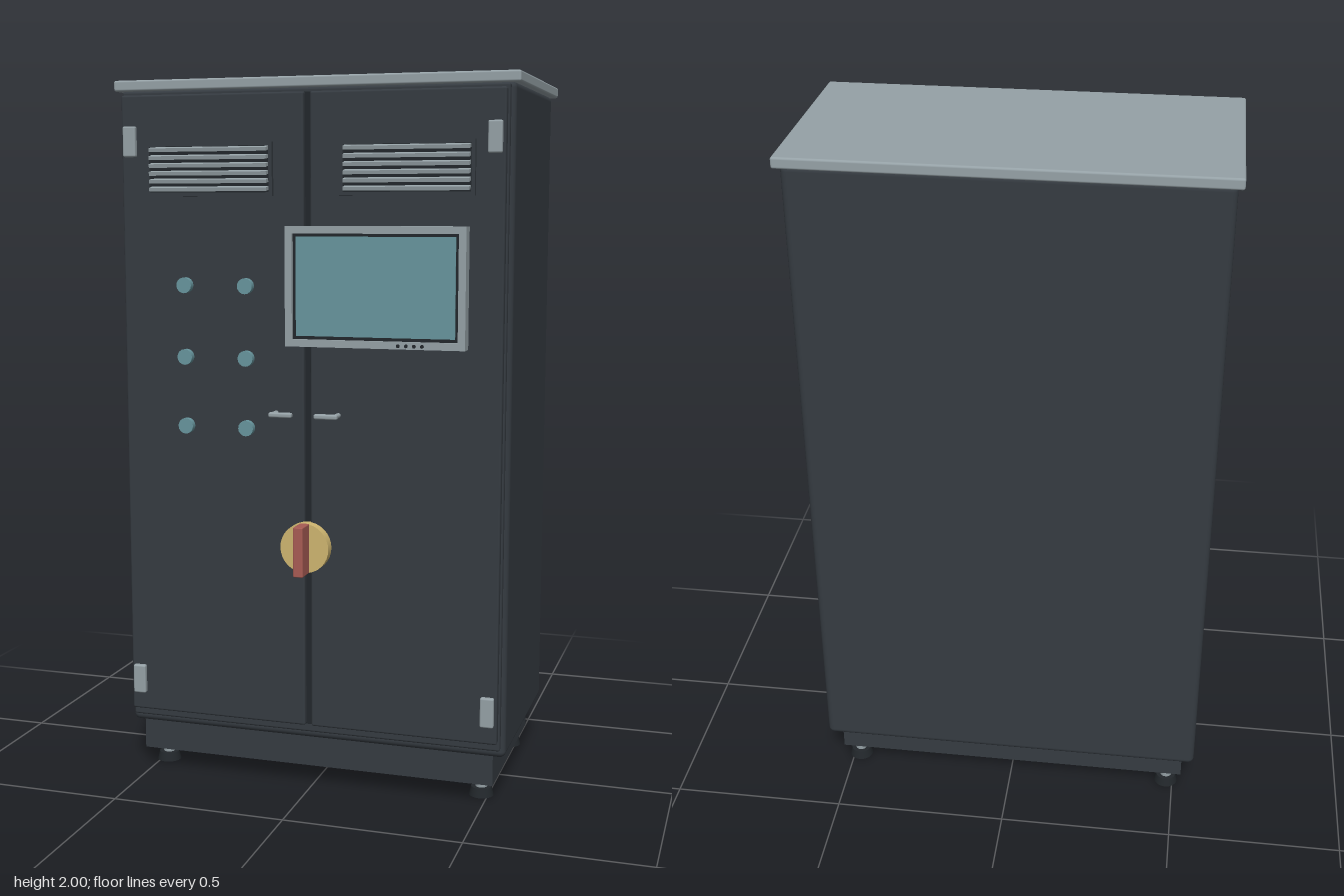
import * as THREE from 'three';
import { RoundedBoxGeometry } from 'three/addons/geometries/RoundedBoxGeometry.js';

const mat = (name, color) => {
  const m = new THREE.MeshStandardMaterial({ color });
  m.name = name;
  return m;
};

export function createModel() {
  const root = new THREE.Group();
  root.name = 'controlCabinet';
  const body = mat('charcoal paint', 0x353b41);
  const dark = mat('black rubber', 0x22272b);
  const metal = mat('light grey metal', 0x95a1a6);
  const teal = mat('teal glass', 0x67959d);
  const yellow = mat('yellow plastic', 0xcfb670);
  const red = mat('red plastic', 0xa85c54);

  const add = (parent, name, geometry, material, x = 0, y = 0, z = 0) => {
    const m = new THREE.Mesh(geometry, material);
    m.name = name;
    m.position.set(x, y, z);
    parent.add(m);
    return m;
  };
  const group = (name) => {
    const g = new THREE.Group();
    g.name = name;
    root.add(g);
    return g;
  };
  // Box from its limits, with optional rounded edges
  const block = (parent, name, material, [x0, x1], [y0, y1], [z0, z1], r = 0) => {
    const size = [x1 - x0, y1 - y0, z1 - z0];
    const geo = r ? new RoundedBoxGeometry(...size, 3, r) : new THREE.BoxGeometry(...size);
    return add(parent, name, geo, material, (x0 + x1) / 2, (y0 + y1) / 2, (z0 + z1) / 2);
  };
  // Cylinder whose axis points to the front
  const disc = (parent, name, material, r, x, y, z0, z1, sides = 32) => {
    const geo = new THREE.CylinderGeometry(r, r, z1 - z0, sides).rotateX(Math.PI / 2);
    return add(parent, name, geo, material, x, y, (z0 + z1) / 2);
  };
  // Rectangular frame with an open middle
  const frame = (parent, name, material, [x0, x1], [y0, y1], [z0, z1], t) => {
    const rect = (P, a, b, c, d) =>
      new P([[a, c], [b, c], [b, d], [a, d]].map((p) => new THREE.Vector2(...p)));
    const shape = rect(THREE.Shape, x0, x1, y0, y1);
    shape.holes.push(rect(THREE.Path, x0 + t, x1 - t, y0 + t, y1 - t));
    const geo = new THREE.ExtrudeGeometry(shape, { depth: z1 - z0, bevelEnabled: false });
    return add(parent, name, geo, material, 0, 0, z0);
  };

  // Cabinet shell, door surround, lid and plinth
  block(root, 'cabinetBody', body, [-0.56, 0.56], [0.14, 1.975], [-0.345, 0.24], 0.018);
  block(root, 'doorSurround', body, [-0.548, 0.548], [0.165, 1.968], [0.2, 0.255], 0.006);
  block(root, 'lid', metal, [-0.575, 0.575], [1.97, 2], [-0.363, 0.253], 0.006);
  block(root, 'plinth', body, [-0.525, 0.525], [0.055, 0.15], [-0.3, 0.23]);
  block(root, 'doorGap', dark, [-0.012, 0.012], [0.19, 1.957], [0.25, 0.259]);

  // Levelling feet
  for (const x of [-0.48, 0.48]) for (const z of [-0.265, 0.16]) {
    const foot = group('foot');
    foot.position.set(x, 0, z);
    add(foot, 'footPad', new THREE.CylinderGeometry(0.029, 0.035, 0.025, 24), dark, 0, 0.0125, 0);
    add(foot, 'footStem', new THREE.CylinderGeometry(0.017, 0.017, 0.04, 16), metal, 0, 0.04, 0);
  }

  // Two doors, each with hinges, louvre vent and handle
  for (const s of [-1, 1]) {
    const door = group(s < 0 ? 'rightDoor' : 'leftDoor');
    const span = (a, b) => (s < 0 ? [-b, -a] : [a, b]);
    block(door, 'doorPanel', body, span(0.009, 0.543), [0.19, 1.957], [0.245, 0.275], 0.006);
    for (const y of [0.283, 1.83]) {
      block(door, 'hinge', metal, span(0.497, 0.535), [y - 0.042, y + 0.042], [0.27, 0.288], 0.005);
    }
    block(door, 'ventBack', dark, span(0.1, 0.46), [1.685, 1.82], [0.27, 0.279]);
    frame(door, 'ventFrame', body, span(0.095, 0.465), [1.68, 1.825], [0.27, 0.287], 0.01);
    for (let i = 0; i < 6; i++) {
      const y = 1.7 + i * 0.0215;
      const slat = block(door, 'ventSlat', metal, span(0.108, 0.452), [y - 0.005, y + 0.005], [0.278, 0.298]);
      slat.rotation.x = 0.2;
    }
    disc(door, 'handleStem', metal, 0.007, s * 0.09, 1.085, 0.27, 0.315, 16);
    block(door, 'handleLever', metal, span(0.032, 0.099), [1.078, 1.092], [0.303, 0.321], 0.005);
  }

  // Indicator lamps
  const lamps = group('indicatorLamps');
  for (const x of [-0.355, -0.175]) for (const y of [1.04, 1.235, 1.435]) {
    disc(lamps, 'lamp', teal, 0.022, x, y, 0.27, 0.293, 16);
  }

  // Touch screen
  const screen = group('touchScreen');
  block(screen, 'screenHousing', metal, [-0.05, 0.45], [1.275, 1.6], [0.27, 0.3]);
  frame(screen, 'screenBezel', metal, [-0.05, 0.45], [1.275, 1.6], [0.3, 0.315], 0.02);
  block(screen, 'screenGasket', dark, [-0.03, 0.43], [1.295, 1.58], [0.298, 0.304]);
  block(screen, 'screenGlass', teal, [-0.021, 0.421], [1.304, 1.572], [0.3, 0.308]);
  for (let i = 0; i < 4; i++) {
    disc(screen, 'screenButton', dark, 0.005, 0.268 + i * 0.022, 1.284, 0.312, 0.318, 12);
  }

  // Main rotary switch
  const mainSwitch = group('mainSwitch');
  disc(mainSwitch, 'switchPlate', yellow, 0.07, 0, 0.713, 0.27, 0.305);
  block(mainSwitch, 'switchGrip', red, [-0.014, 0.014], [0.643, 0.783], [0.3, 0.362], 0.003);

  return root;
}
